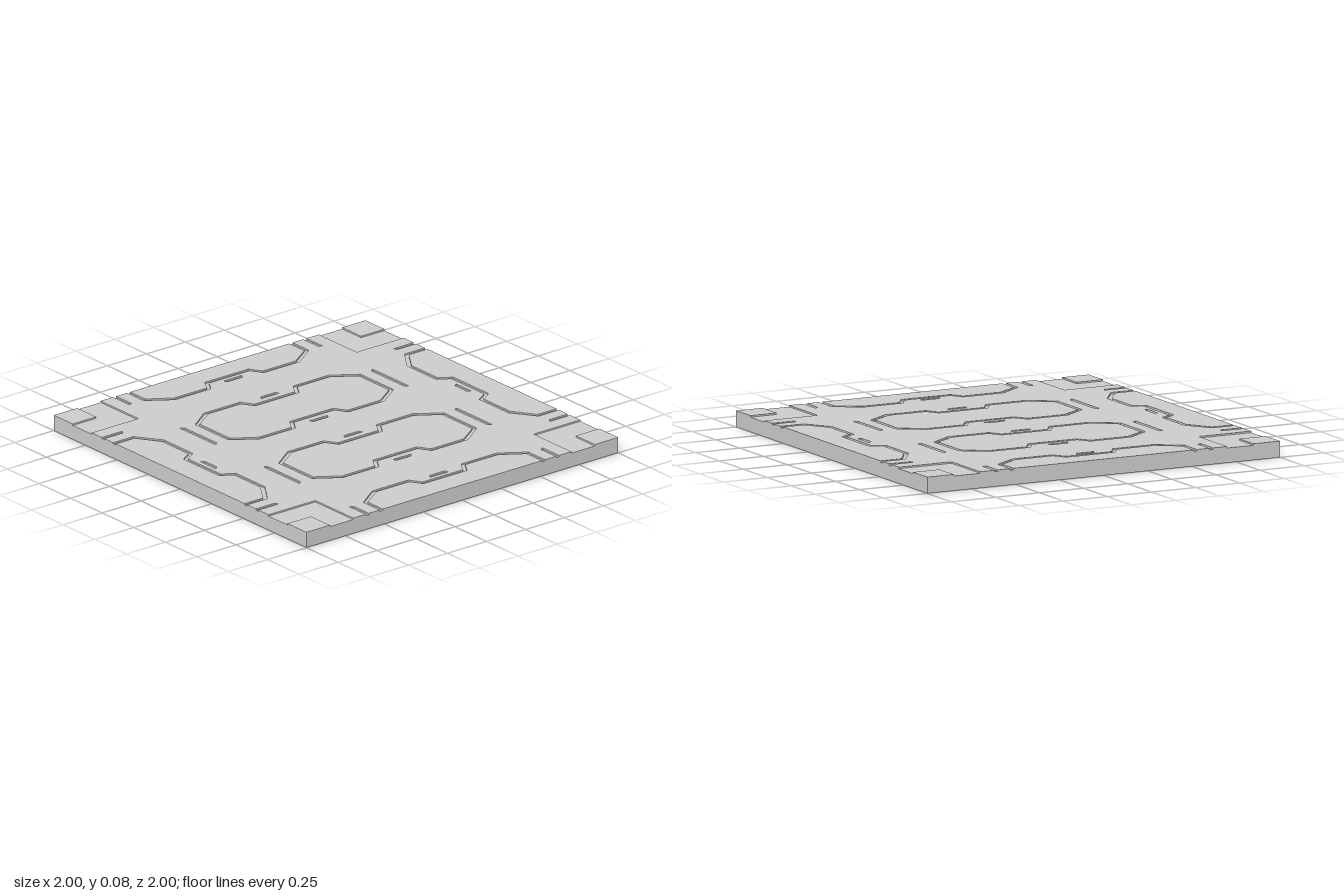
import * as THREE from 'three';

const TOP = 0.083, FLOOR = 0.075, GROOVE = 0.02;
const material = new THREE.MeshStandardMaterial({ color: 0xcccccc, flatShading: true });

// Half of a kinked octagon, from -u to +u, inset by d; w is the distance from its own centre line
function halfPanel(d) {
  const right = [
    [0.13 + d / 2, 0.155 - d], [0.17 + d / 2, 0.22 - d],
    [0.4 - d / 2, 0.22 - d], [0.53 - d, 0.13 - d / 2],
  ];
  return [...right.map(([u, w]) => [-u, w]).reverse(), ...right];
}

// Full kinked octagon centred on z = cz
function fullPanel(d, cz) {
  const half = halfPanel(d);
  return [...half.map(([u, w]) => [u, cz + w]), ...half.map(([u, w]) => [-u, cz - w])];
}

// Quarter turns about the tile centre
function turn([x, z], n) {
  for (let i = 0; i < n; i++) [x, z] = [z, -x];
  return [x, z];
}

const toPoints = (pts) => pts.map(([x, z]) => new THREE.Vector2(x, -z));

function raised(name, outline, holes = []) {
  const shape = new THREE.Shape(toPoints(outline));
  for (const h of holes) shape.holes.push(new THREE.Path(toPoints(h)));
  const geometry = new THREE.ExtrudeGeometry(shape, { depth: TOP - FLOOR, bevelEnabled: false });
  geometry.rotateX(-Math.PI / 2).translate(0, FLOOR, 0);
  const mesh = new THREE.Mesh(geometry, material);
  mesh.name = name;
  return mesh;
}

// Short tapered slot across x = 0; wide edge at z = a, narrow edge at z = b
const slot = (a, b) => [[-0.06, a], [-0.045, b], [0.045, b], [0.06, a]];

export function createModel() {
  const group = new THREE.Group();
  group.name = 'floorTile';

  // Slab whose top is the bottom of all grooves
  const slab = new THREE.Mesh(new THREE.BoxGeometry(2, FLOOR, 2), material);
  slab.name = 'slab';
  slab.position.y = FLOOR / 2;
  group.add(slab);

  // One side of the main plate: corner cut, edge slit, panel recess, edge slit
  const slit = [[-0.62, 1], [-0.62, 0.87], [-0.6, 0.88], [-0.6, 1]];
  const side = [
    [-0.7, 0.7], [-0.7, 1], ...slit, [-0.53, 1],
    ...halfPanel(0).map(([u, w]) => [u, 1 - w]),
    [0.53, 1], ...slit.map(([x, z]) => [-x, z]).reverse(), [0.7, 1],
  ];
  const outline = [], holes = [];
  for (let n = 0; n < 4; n++) {
    outline.push(...side.map((p) => turn(p, n)));
    holes.push(slot(0.82, 0.8).map((p) => turn(p, n)));
  }

  // Ring openings, their slots and the long slits beside them
  for (const s of [-1, 1]) {
    const cz = 0.33 * s;
    holes.push(fullPanel(0, cz));
    for (const k of [-1, 1]) {
      holes.push(slot(cz + 0.19 * k, cz + 0.21 * k));
      holes.push([[0.6, 0.2], [0.6, 0.46], [0.62, 0.475], [0.62, 0.19]].map(([x, z]) => [x * k, z * s]));
    }
    group.add(raised('centrePanel', fullPanel(GROOVE, cz)));
  }
  group.add(raised('mainPlate', outline, holes));

  // Edge panels and corner blocks, one per side
  const edge = [
    [-0.51, 1], ...halfPanel(GROOVE).map(([u, w]) => [u, 1 - w]), [0.51, 1],
  ];
  const corner = [[0.85, 0.85], [1, 0.85], [1, 1], [0.85, 1]];
  for (let n = 0; n < 4; n++) {
    group.add(raised('edgePanel', edge.map((p) => turn(p, n))));
    group.add(raised('cornerBlock', corner.map((p) => turn(p, n))));
  }
  return group;
}
